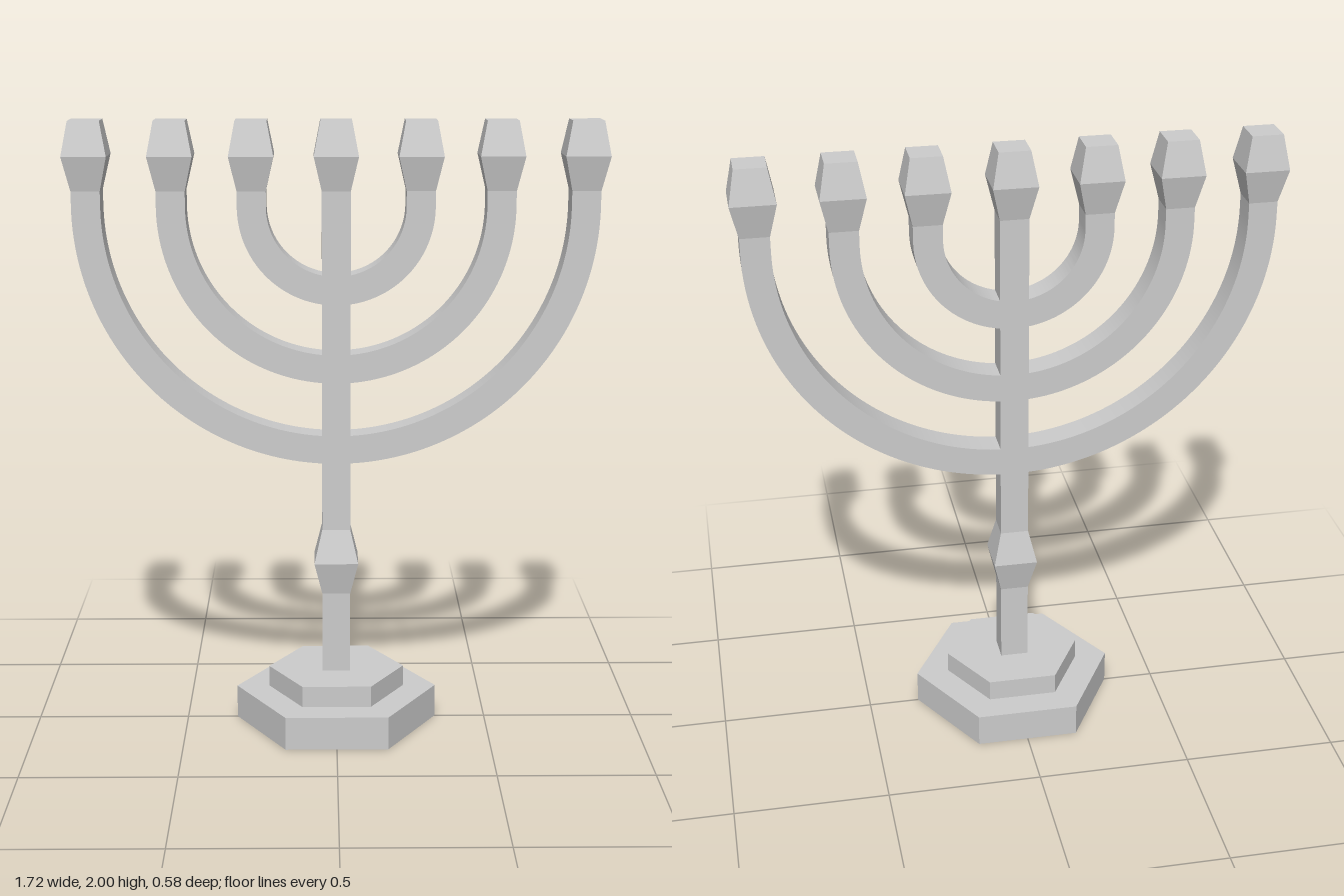
import * as THREE from 'three';
import { toCreasedNormals } from 'three/addons/utils/BufferGeometryUtils.js';

const HALF = 0.046;      // half thickness of stem and arms
const ARC_Y = 1.73;      // shared centre height of all arm arcs
const CUP_Y = 1.78;      // where the cups begin
const ARM_RADII = [0.268, 0.523, 0.79];

const grey = new THREE.MeshStandardMaterial({ color: 0xcccccc });
const greyFlat = new THREE.MeshStandardMaterial({ color: 0xcccccc, flatShading: true });

function part(name, geometry, material = greyFlat) {
  const mesh = new THREE.Mesh(geometry, material);
  mesh.name = name;
  return mesh;
}

// Square-section column from [half width, height] pairs
function squareColumn(profile) {
  const points = profile.map(([half, y]) => new THREE.Vector2(half * Math.SQRT2, y));
  return new THREE.LatheGeometry(points, 4, Math.PI / 4);
}

// Quarter-circle arm growing from the side of the stem, then straight up to its cup
function armGeometry(radius) {
  const outer = radius + HALF, inner = radius - HALF;
  const start = r => -Math.PI / 2 + Math.asin(HALF / r);
  const shape = new THREE.Shape();
  shape.absarc(0, ARC_Y, outer, start(outer), 0, false);
  shape.lineTo(outer, CUP_Y);
  shape.lineTo(inner, CUP_Y);
  shape.absarc(0, ARC_Y, inner, 0, start(inner), true);
  const geometry = new THREE.ExtrudeGeometry(shape, { depth: 2 * HALF, bevelEnabled: false, curveSegments: 32 });
  geometry.translate(0, 0, -HALF);
  return toCreasedNormals(geometry, Math.PI / 6);
}

function hexStep(name, radius, bottom, top) {
  const geometry = new THREE.CylinderGeometry(radius, radius, top - bottom, 6);
  geometry.rotateY(Math.PI / 2);
  geometry.translate(0, (bottom + top) / 2, 0);
  return part(name, geometry);
}

export function createModel() {
  const model = new THREE.Group();
  model.name = 'sevenBranchCandelabrum';

  // Two-step hexagonal base
  model.add(hexStep('lowerBase', 0.333, 0, 0.11), hexStep('upperBase', 0.225, 0.11, 0.18));

  // Stem with its knob
  model.add(part('stem', squareColumn([
    [HALF, 0.18], [HALF, 0.45], [0.072, 0.56], [HALF, 0.67], [HALF, CUP_Y],
  ])));

  // Cups
  const cup = squareColumn([[0, CUP_Y], [HALF, CUP_Y], [0.071, 1.89], [0.05, 2], [0, 2]]);
  model.add(part('centreCup', cup));

  // Three mirrored pairs of arms
  ARM_RADII.forEach((radius, i) => {
    const arm = armGeometry(radius);
    for (const side of ['left', 'right']) {
      const branch = new THREE.Group();
      branch.name = `${side}Branch${i + 1}`;
      const branchCup = part('cup', cup);
      branchCup.position.x = radius;
      branch.add(part('arm', arm, grey), branchCup);
      if (side === 'right') branch.rotation.y = Math.PI;
      model.add(branch);
    }
  });
  return model;
}
